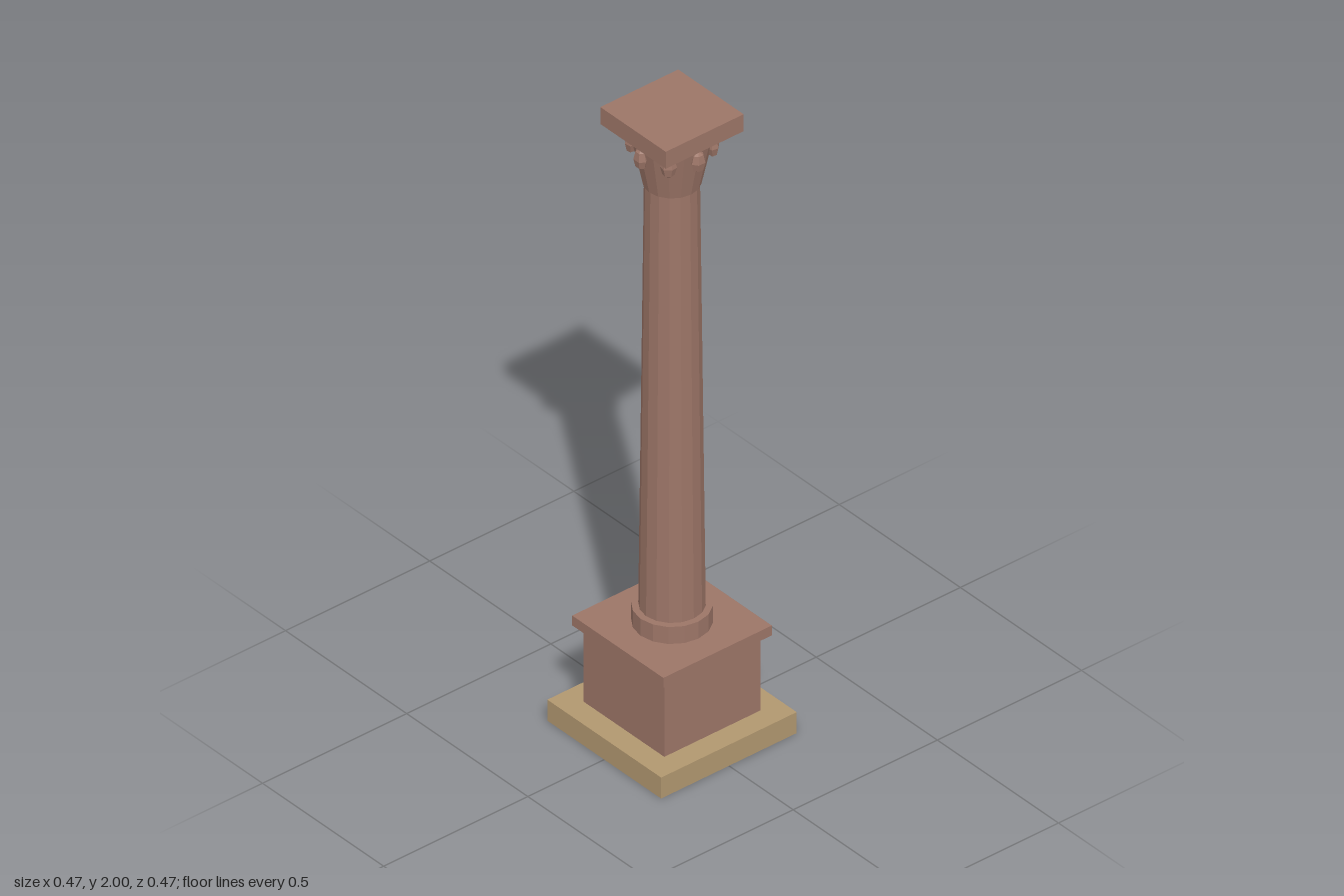
import * as THREE from 'three';

export function createModel() {
  const column = new THREE.Group();
  column.name = 'column';

  const stone = new THREE.MeshStandardMaterial({ color: 0x9c7567, flatShading: true });
  stone.name = 'brown stone';
  const sand = new THREE.MeshStandardMaterial({ color: 0xb1976f, flatShading: true });
  sand.name = 'sandstone';

  const add = (name, geometry, material, y) => {
    const mesh = new THREE.Mesh(geometry, material);
    mesh.name = name;
    mesh.position.y = y;
    column.add(mesh);
    return mesh;
  };
  // Square slab and round drum, both given by bottom and top height
  const slab = (name, half, y0, y1, material = stone) =>
    add(name, new THREE.BoxGeometry(half * 2, y1 - y0, half * 2), material, (y0 + y1) / 2);
  const drum = (name, r0, r1, y0, y1) =>
    add(name, new THREE.CylinderGeometry(r1, r0, y1 - y0, 16), stone, (y0 + y1) / 2);

  // Pedestal
  slab('footing', 0.235, 0, 0.068, sand);
  slab('pedestal', 0.167, 0.068, 0.313);
  slab('pedestalCap', 0.188, 0.313, 0.345);

  // Column with a slight taper
  drum('baseRing', 0.109, 0.109, 0.345, 0.4);
  drum('shaft', 0.09, 0.075, 0.4, 1.77);
  drum('capital', 0.079, 0.116, 1.77, 1.945);
  slab('abacus', 0.135, 1.945, 2);

  // Eight faceted buds around the capital
  const bud = new THREE.SphereGeometry(1, 6, 4);
  bud.scale(0.023, 0.034, 0.018);
  for (let i = 0; i < 8; i++) {
    const a = (i * Math.PI) / 4;
    const mesh = add('capitalBud', bud, stone, 1.893);
    mesh.position.x = Math.sin(a) * 0.109;
    mesh.position.z = Math.cos(a) * 0.109;
    mesh.rotation.y = a;
  }
  return column;
}
